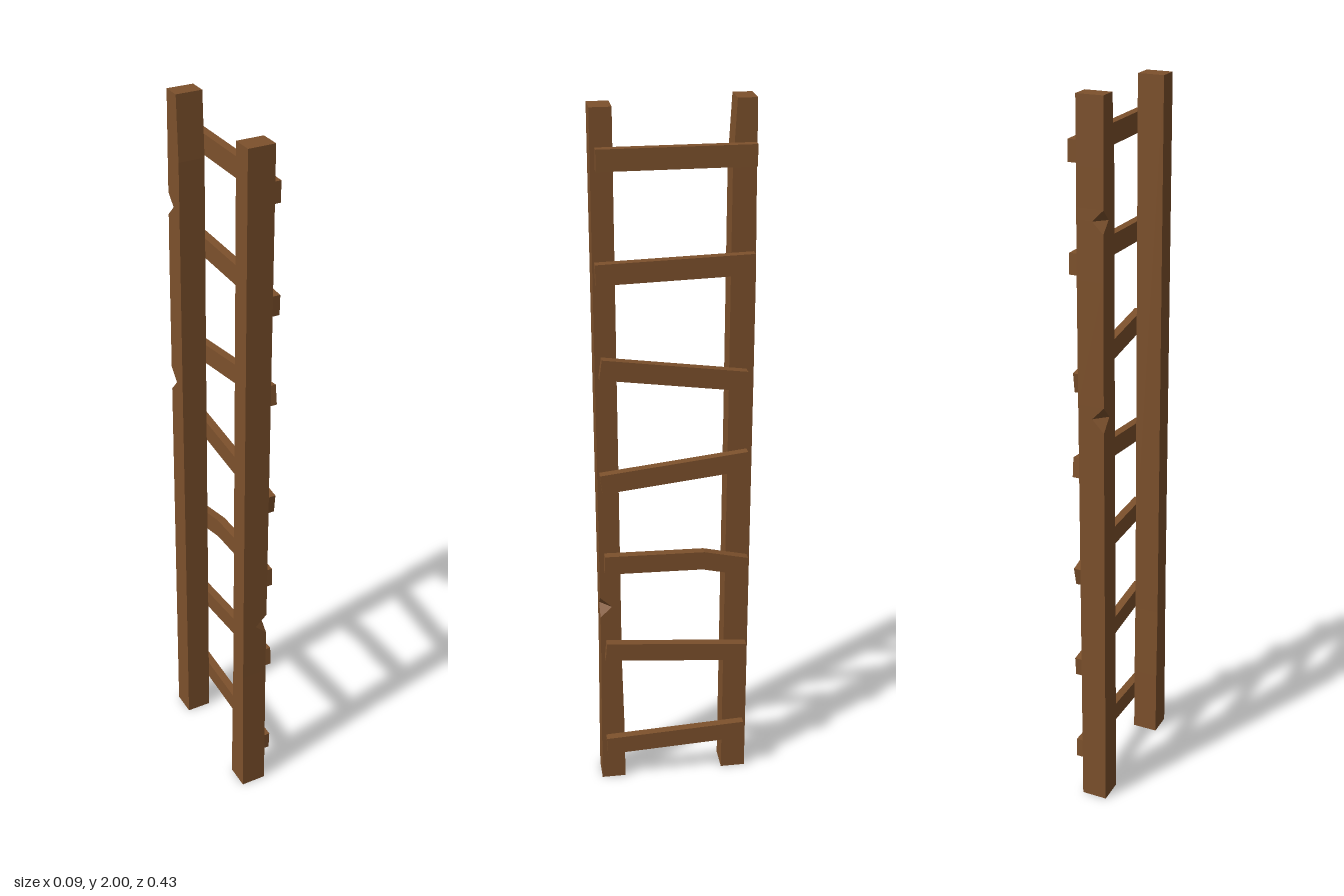
import * as THREE from 'three';

const wood = new THREE.MeshStandardMaterial({ color: 0x7d512c, flatShading: true });
wood.name = 'brown wood';

// Rail lofted from sections [y, inner z, outer z, notch depth].
// The outer +x corner is split in two points, which separate where a notch is cut.
function makeRail(name, x0, x1, sections) {
  const rings = sections.map(([y, zi, zo, cut = 0]) => [
    [x0, y, zi], [x0, y, zo], [x1 - cut, y, zo], [x1, y, zo - cut], [x1, y, zi],
  ].map((p) => new THREE.Vector3(...p)));
  const out = [];
  const tri = (a, b, c) => {
    const area = b.clone().sub(a).cross(c.clone().sub(a)).length();
    if (area > 1e-8) for (const p of [a, b, c]) out.push(p.x, p.y, p.z);
  };
  for (let i = 0; i < rings.length - 1; i++) {
    const lo = rings[i], hi = rings[i + 1];
    for (let j = 0; j < 5; j++) {
      const k = (j + 1) % 5;
      tri(lo[j], lo[k], hi[k]);
      tri(lo[j], hi[k], hi[j]);
    }
  }
  const bottom = rings[0], top = rings[rings.length - 1];
  for (let j = 1; j < 4; j++) {
    tri(top[0], top[j], top[j + 1]);
    tri(bottom[0], bottom[j + 1], bottom[j]);
  }
  const geo = new THREE.BufferGeometry();
  geo.setAttribute('position', new THREE.Float32BufferAttribute(out, 3));
  geo.computeVertexNormals();
  const mesh = new THREE.Mesh(geo, wood);
  mesh.name = name;
  return mesh;
}

// Flat board following a centre line of [z, y] points, with square ends
function makeRung(name, line) {
  const pts = line.map((p) => new THREE.Vector2(...p));
  const half = 0.0275;
  const upper = [], lower = [];
  pts.forEach((p, i) => {
    const a = pts[Math.max(i - 1, 0)], b = pts[Math.min(i + 1, pts.length - 1)];
    const d = b.clone().sub(a).normalize();
    const n = new THREE.Vector2(d.y, -d.x).multiplyScalar(half);
    upper.push(p.clone().add(n));
    lower.unshift(p.clone().sub(n));
  });
  const geo = new THREE.ExtrudeGeometry(new THREE.Shape([...upper, ...lower]), {
    depth: 0.023, bevelEnabled: false,
  });
  geo.rotateY(-Math.PI / 2).translate(0.047, 0, 0);
  const mesh = new THREE.Mesh(geo, wood);
  mesh.name = name;
  return mesh;
}

export function createModel() {
  const ladder = new THREE.Group();
  ladder.name = 'ladder';

  // Front rail, flared at the foot, with one notch
  ladder.add(makeRail('frontRail', -0.048, 0.024, [
    [0, 0.146, 0.215], [0.2, 0.147, 0.213], [0.42, 0.151, 0.21],
    [0.56, 0.151, 0.209], [0.592, 0.151, 0.209, 0.033], [0.624, 0.151, 0.209],
    [1.988, 0.151, 0.207],
  ]));

  // Back rail, narrowed at the top, turned round so its two notches face outward
  const back = makeRail('backRail', -0.024, 0.048, [
    [0, 0.144, 0.215], [1.15, 0.147, 0.213], [1.185, 0.147, 0.213, 0.033],
    [1.22, 0.147, 0.213], [1.55, 0.147, 0.212],
    [1.67, 0.147, 0.21], [1.7, 0.147, 0.21, 0.03], [1.73, 0.147, 0.209],
    [1.83, 0.147, 0.208], [2, 0.156, 0.206],
  ]);
  back.rotation.y = Math.PI;
  ladder.add(back);

  // Crooked rungs nailed across the rails
  const rungs = [
    [[0.2, 0.127], [-0.206, 0.146]],
    [[0.197, 0.456], [-0.205, 0.42]],
    [[0.195, 0.739], [-0.08, 0.733], [-0.2, 0.705]],
    [[0.2, 0.988], [-0.202, 1.033]],
    [[0.195, 1.32], [-0.19, 1.266]],
    [[0.202, 1.575], [-0.206, 1.586]],
    [[0.195, 1.864], [-0.205, 1.864]],
  ];
  rungs.forEach((line, i) => ladder.add(makeRung(`rung${i + 1}`, line)));
  return ladder;
}
